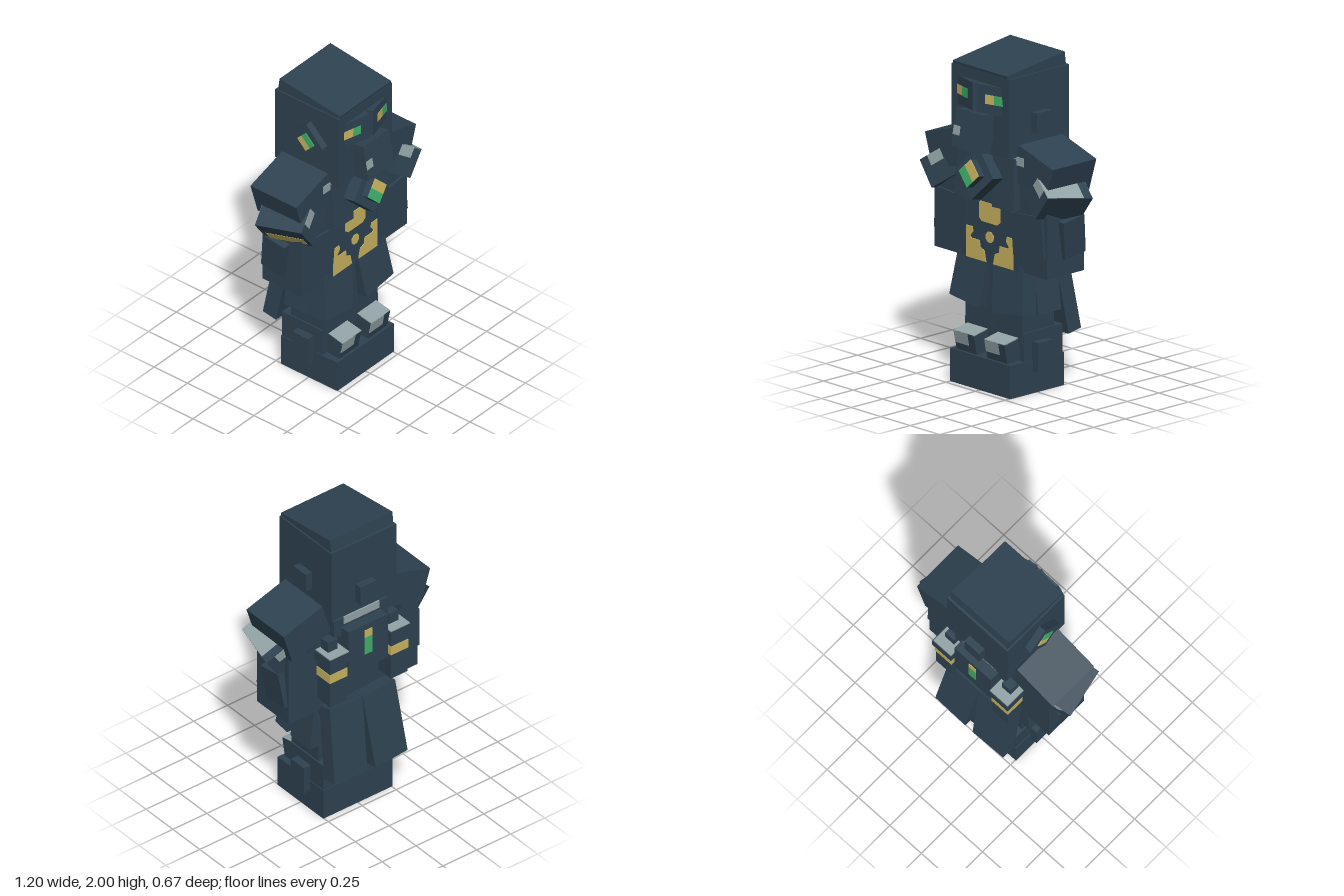
import * as THREE from 'three';

const mat = (name, color) => {
  const m = new THREE.MeshStandardMaterial({ color });
  m.name = name;
  return m;
};

export function createModel() {
  const model = new THREE.Group();
  model.name = 'armouredFigure';
  const navy = mat('navy armour', 0x2e4251);
  const gold = mat('gold trim', 0xc9b45f);
  const green = mat('green gem', 0x3fb06a);
  const grey = mat('grey metal', 0x93a4a6);

  // Box given by size, centre and rotation
  const box = (parent, name, m, [w, h, d], [x, y, z], [rx, ry, rz] = [0, 0, 0], order = 'XYZ') => {
    const mesh = new THREE.Mesh(new THREE.BoxGeometry(w, h, d), m);
    mesh.name = name;
    mesh.position.set(x, y, z);
    mesh.rotation.set(rx, ry, rz, order);
    parent.add(mesh);
    return mesh;
  };
  // Box given by its lower and upper corners
  const span = (parent, name, m, a, b) =>
    box(parent, name, m, a.map((v, i) => b[i] - v), a.map((v, i) => (v + b[i]) / 2));
  // Thin painted plate cut from a 2D outline
  const plate = (parent, name, m, pts, z) => {
    const shape = new THREE.Shape(pts.map(([x, y]) => new THREE.Vector2(x, y)));
    const mesh = new THREE.Mesh(new THREE.ExtrudeGeometry(shape, { depth: 0.006, bevelEnabled: false }), m);
    mesh.name = name;
    mesh.position.z = z;
    parent.add(mesh);
  };
  // Square turned on its corner, with a gem of two halves on its face
  const diamond = (name, pos, rot, size, depth, gem, raise, upper, lower) => {
    const g = new THREE.Group();
    g.name = name;
    g.position.set(...pos);
    g.rotation.set(...rot);
    model.add(g);
    const base = box(g, name + 'Base', navy, [size, size, depth], [0, 0, -depth / 2], [0, 0, Math.PI / 4]);
    if (raise) box(base, name + 'Setting', navy, [gem, gem, raise], [0, 0, depth / 2 + raise / 2]);
    const z = depth / 2 + raise + 0.002;
    box(base, name + 'GemUpper', upper, [gem / 2, gem, 0.006], [gem / 4, 0, z]);
    box(base, name + 'GemLower', lower, [gem / 2, gem, 0.006], [-gem / 4, 0, z]);
  };

  // Head with sloping cap and face mask
  span(model, 'head', navy, [-0.24, 1.44, -0.265], [0.24, 1.92, 0.215]);
  box(model, 'cap', navy, [0.46, 0.08, 0.459], [0, 1.93, -0.018], [0.131, 0, 0]);
  const mask = box(model, 'mask', navy, [0.23, 0.225, 0.1], [0, 1.575, 0.265], [-0.18, 0, 0]);
  box(mask, 'maskMark', grey, [0.055, 0.055, 0.006], [-0.087, -0.015, 0.05]);
  span(model, 'earButton', navy, [0.23, 1.57, -0.085], [0.285, 1.69, 0.03]);
  span(model, 'headBackButton', navy, [-0.06, 1.5, -0.31], [0.06, 1.625, -0.26]);
  diamond('earPlate', [-0.285, 1.695, 0.005], [0, -Math.PI / 2, 0], 0.173, 0.05, 0.09, 0, green, gold);

  // Brow plates angled to a ridge, with two-tone eyes
  for (const s of [-1, 1]) {
    const brow = box(model, 'browPlate', navy, [0.19, 0.17, 0.05], [s * 0.102, 1.775, 0.21], [0, s * 0.25, 0]);
    for (const [half, m] of [[-1, gold], [1, green]]) {
      const x = s * 0.028 + half * 0.03;
      plate(brow, 'eye', m, [[x - 0.031, -0.026], [x + 0.031, -0.026],
        [x + 0.031 - (half === s ? s * 0.008 : 0), 0.03], [x - 0.031, 0.03]], 0.022);
    }
  }

  // Torso, collar and chest
  span(model, 'torso', navy, [-0.24, 0.74, -0.165], [0.24, 1.45, 0.135]);
  span(model, 'hips', navy, [-0.235, 0.7, -0.165], [0.235, 0.83, 0.115]);
  span(model, 'collarBack', navy, [-0.2, 1.28, -0.24], [0.2, 1.4, -0.15]);
  span(model, 'collarBackTrim', grey, [-0.13, 1.36, -0.247], [0.13, 1.41, -0.238]);
  for (const s of [-1, 1]) {
    box(model, 'chestPlate', navy, [0.18, 0.31, 0.08], [s * 0.155, 1.27, 0.135], [-0.06, 0, s * 0.04]);
    box(model, 'collarTrim', grey, [0.1, 0.05, 0.006], [s * 0.25, 1.42, 0.148]);
  }
  diamond('brooch', [0, 1.315, 0.256], [-0.175, 0, 0], 0.22, 0.08, 0.118, 0.045, gold, green);

  // Gold belt pattern
  plate(model, 'bellyPlate', gold, [[-0.09, 1.01], [-0.065, 0.99], [0.065, 0.99], [0.09, 1.01], [0.09, 1.11], [-0.09, 1.11]], 0.134);
  for (const s of [-1, 1]) {
    const pts = [[0.2, 0.94], [0.145, 0.94], [0.14, 0.91], [0.165, 0.88], [0.15, 0.87], [0.085, 0.87],
      [0.08, 0.83], [0.045, 0.815], [0.03, 0.75], [0.2, 0.75]];
    plate(model, 'beltPlate', gold, pts.map(([x, y]) => [s * x, y]), 0.134);
  }
  const stud = new THREE.Mesh(new THREE.CylinderGeometry(0.035, 0.035, 0.006, 8), gold);
  stud.name = 'beltStud';
  stud.rotation.set(Math.PI / 2, Math.PI / 8, 0);
  stud.position.set(0, 0.905, 0.137);
  model.add(stud);

  // Back plate with gem stripe
  span(model, 'backPlate', navy, [-0.145, 1.03, -0.305], [0.145, 1.34, -0.16]);
  span(model, 'backPlateLower', navy, [-0.2, 0.99, -0.2], [0.2, 1.2, -0.16]);
  span(model, 'backGemTop', gold, [-0.027, 1.25, -0.31], [0.027, 1.3, -0.304]);
  span(model, 'backGem', green, [-0.027, 1.13, -0.31], [0.027, 1.25, -0.304]);

  for (const s of [-1, 1]) {
    // Back canisters
    const pod = new THREE.Group();
    pod.name = 'backCanister';
    pod.position.set(s * 0.225, 0, -0.255);
    model.add(pod);
    span(pod, 'canisterBody', navy, [-0.06, 0.87, -0.055], [0.06, 1.16, 0.06]);
    span(pod, 'canisterBand', gold, [-0.064, 1.04, -0.059], [0.064, 1.1, 0.064]);
    span(pod, 'canisterCap', navy, [-0.075, 1.15, -0.073], [0.075, 1.215, 0.073]);
    span(pod, 'canisterLid', grey, [-0.07, 1.214, -0.068], [0.07, 1.221, 0.068]);
    span(pod, 'canisterValve', navy, [-0.035, 1.21, -0.005], [0.035, 1.29, 0.06]);

    // Arms and bracers
    span(model, 'arm', navy, [s > 0 ? 0.2 : -0.475, 0.75, -0.165], [s > 0 ? 0.475 : -0.2, 1.38, 0.13]);
    box(model, 'bracerFront', navy, [0.26, 0.25, 0.05], [s * 0.325, 0.985, 0.12], [0, 0, s * 0.09]);
    box(model, 'bracerSide', navy, [0.09, 0.235, 0.165], [s * 0.465, 0.98, -0.058], [0.14, 0, -s * 0.1]);

    // Layered shoulder guards
    box(model, 'shoulderGuardUpper', navy, [0.3, 0.22, 0.345], [s * 0.365, 1.367, -0.028], [0, 0, -s * 0.3]);
    const lower = box(model, 'shoulderGuardLower', navy, [0.29, 0.18, 0.31], [s * 0.405, 1.25, 0],
      [-0.15, -s * 0.19, -s * 0.6], 'YXZ');
    for (const f of [-1, 1])
      box(lower, 'shoulderMark', grey, [0.1, 0.065, 0.006], [s * 0.035, 0.057, f * 0.154]);
    if (s > 0) box(lower, 'shoulderTopTrim', grey, [0.14, 0.006, 0.25], [0.074, 0.089, 0.03]);
    else box(lower, 'shoulderSideTrim', gold, [0.006, 0.07, 0.25], [-0.144, -0.04, 0]);

    // Skirt panels
    box(model, 'skirtFront', navy, [0.25, 0.32, 0.11], [s * 0.165, 0.64, 0.095], [-0.14, 0, s * 0.12]);
    box(model, 'skirtSide', navy, [0.09, 0.28, 0.18], [s * 0.242, 0.615, -0.055], [0, 0, s * 0.12]);
    box(model, 'skirtBack', navy, [0.24, 0.48, 0.1], [s * 0.135, 0.545, -0.245], [0.17, 0, s * 0.06]);

    // Legs and boots
    const side = (name, x0, x1, y0, y1, z0, z1) =>
      span(model, name, navy, [Math.min(s * x0, s * x1), y0, z0], [Math.max(s * x0, s * x1), y1, z1]);
    side('leg', 0.003, 0.24, 0.3, 0.76, -0.145, 0.105);
    side('bootShaft', 0.004, 0.25, 0.18, 0.37, -0.205, 0.1);
    side('bootFoot', 0, 0.255, 0, 0.2, -0.21, 0.215);
    side('anklePad', 0.24, 0.3, 0.13, 0.31, -0.085, 0.035);
    const toe = box(model, 'toeGuard', navy, [0.17, 0.13, 0.11], [s * 0.13, 0.265, 0.155], [0.2, 0, 0]);
    box(toe, 'toeGuardTop', grey, [0.17, 0.006, 0.11], [0, 0.064, 0]);
    box(toe, 'toeGuardFront', grey, [0.115, 0.075, 0.006], [-0.0275, 0.027, 0.054]);
  }
  return model;
}
